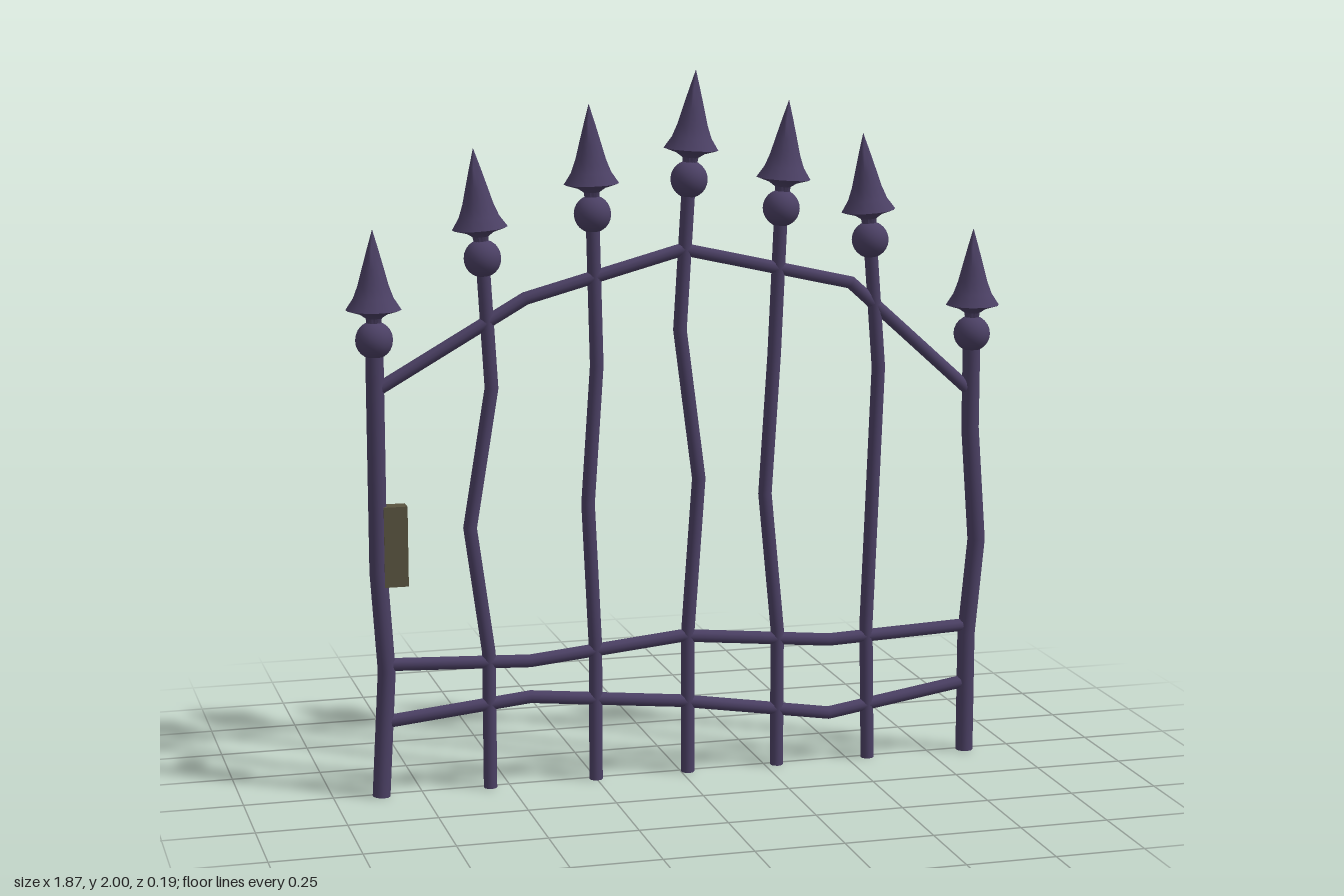
import * as THREE from 'three';
import { toCreasedNormals } from 'three/addons/utils/BufferGeometryUtils.js';

const Z = 0.02; // depth of the gate's centre plane
const iron = new THREE.MeshStandardMaterial({ color: 0x4b4064 });
const brass = new THREE.MeshStandardMaterial({ color: 0x58533f });
const dark = new THREE.MeshStandardMaterial({ color: 0x24221c });

function part(parent, name, geometry, material, x = 0, y = 0, z = 0) {
  const mesh = new THREE.Mesh(geometry, material);
  mesh.name = name;
  mesh.position.set(x, y, z);
  parent.add(mesh);
  return mesh;
}

// Round bar along a kinked path in the xy plane, mitred at each kink
function bentBar(points, radius) {
  const p = points.map(([x, y]) => new THREE.Vector2(x, y));
  const last = p.length - 1;
  const dirs = p.slice(1).map((q, i) => q.clone().sub(p[i]).normalize());
  const rings = p.map((q, i) => {
    const a = dirs[Math.max(i - 1, 0)], b = dirs[Math.min(i, last - 1)];
    const t = a.clone().add(b).normalize();
    return { q, n: new THREE.Vector2(t.y, -t.x).divideScalar(t.dot(a)) };
  });
  const geo = new THREE.CylinderGeometry(radius, radius, last, 10, last);
  const pos = geo.attributes.position;
  for (let i = 0; i < pos.count; i++) {
    const { q, n } = rings[Math.round(pos.getY(i) + last / 2)];
    const x = pos.getX(i);
    pos.setXY(i, q.x + n.x * x, q.y + n.y * x);
  }
  return toCreasedNormals(geo, 0.8);
}

// Ball and flared spear point, measured from the centre of the ball
const ballGeo = new THREE.SphereGeometry(0.052, 16, 12);
const spearGeo = toCreasedNormals(new THREE.LatheGeometry([
  [0.018, 0.03], [0.022, 0.06], [0.04, 0.072], [0.076, 0.083], [0.055, 0.115],
  [0.042, 0.15], [0.03, 0.195], [0.015, 0.25], [0, 0.302],
].map(([r, y]) => new THREE.Vector2(r, y)), 14), 0.9);

// Uprights: path from the ground up to the ball, then the sideways lean of the spear
const uprights = [
  { name: 'rightPost', r: 0.025, lean: 0, path: [[-0.868, 0], [-0.847, 0.36], [-0.865, 0.64], [-0.865, 1.287]] },
  { name: 'bar1', r: 0.019, lean: -0.075, path: [[-0.558, 0], [-0.558, 0.39], [-0.607, 0.75], [-0.542, 1.14], [-0.563, 1.5]] },
  { name: 'bar2', r: 0.019, lean: -0.03, path: [[-0.252, 0], [-0.252, 0.39], [-0.271, 0.8], [-0.244, 1.19], [-0.254, 1.612]] },
  { name: 'bar3', r: 0.019, lean: 0.065, path: [[0.018, 0], [0.018, 0.41], [0.05, 0.855], [-0.005, 1.28], [0.021, 1.7]] },
  { name: 'bar4', r: 0.019, lean: 0.07, path: [[0.284, 0], [0.284, 0.4], [0.245, 0.8], [0.27, 1.2], [0.288, 1.612]] },
  { name: 'bar5', r: 0.019, lean: -0.08, path: [[0.56, 0], [0.552, 0.4], [0.567, 0.8], [0.58, 1.15], [0.551, 1.515]] },
  { name: 'leftPost', r: 0.025, lean: 0, path: [[0.86, 0], [0.86, 0.35], [0.886, 0.63], [0.861, 0.96], [0.861, 1.235]] },
];

// Wavy horizontal rails
const rails = {
  bottomRail: [[-0.855, 0.213], [-0.44, 0.255], [0.005, 0.21], [0.44, 0.142], [0.862, 0.208]],
  lowerRail: [[-0.855, 0.377], [-0.44, 0.359], [0.005, 0.402], [0.44, 0.36], [0.862, 0.377]],
  archRail: [[-0.862, 1.148], [-0.445, 1.385], [0.005, 1.506], [0.495, 1.395], [0.862, 1.065]],
};

function createLock() {
  const lock = new THREE.Group();
  lock.name = 'lock';
  part(lock, 'lockCase', new THREE.BoxGeometry(0.066, 0.225, 0.046), brass, -0.818, 0.713, Z);

  // Knob on a short stem behind the case
  part(lock, 'knobStem', new THREE.CylinderGeometry(0.012, 0.012, 0.06, 10), brass, -0.82, 0.775, -0.025)
    .rotation.x = Math.PI / 2;
  part(lock, 'knob', new THREE.SphereGeometry(0.037, 14, 10), brass, -0.82, 0.775, -0.058);

  // Keyhole: raised plate with an opening over a dark backing
  const plate = new THREE.Shape().absellipse(0, 0, 0.02, 0.036, 0, Math.PI * 2);
  const hole = new THREE.Path();
  hole.moveTo(-0.008, -0.022);
  hole.lineTo(-0.004, 0.004);
  hole.absarc(0, 0.011, 0.009, Math.PI * 1.3, -Math.PI * 0.3, true);
  hole.lineTo(0.008, -0.022);
  hole.closePath();
  plate.holes.push(hole);
  const plateGeo = new THREE.ExtrudeGeometry(plate, { depth: 0.004, bevelEnabled: false, curveSegments: 10 });
  part(lock, 'keyholePlate', plateGeo, brass, -0.815, 0.67, -0.007);
  part(lock, 'keyholeBacking', new THREE.BoxGeometry(0.022, 0.046, 0.002), dark, -0.815, 0.67, -0.003);
  return lock;
}

export function createModel() {
  const gate = new THREE.Group();
  gate.name = 'gate';

  for (const { name, r, lean, path } of uprights) {
    const upright = new THREE.Group();
    upright.name = name;
    part(upright, 'shaft', bentBar(path, r), iron, 0, 0, Z);
    const [x, y] = path[path.length - 1];
    part(upright, 'ball', ballGeo, iron, x, y, Z);
    part(upright, 'spearPoint', spearGeo, iron, x, y, Z).rotation.z = -lean;
    gate.add(upright);
  }

  for (const [name, path] of Object.entries(rails)) {
    part(gate, name, bentBar(path, 0.018), iron, 0, 0, Z);
  }

  gate.add(createLock());
  return gate;
}
